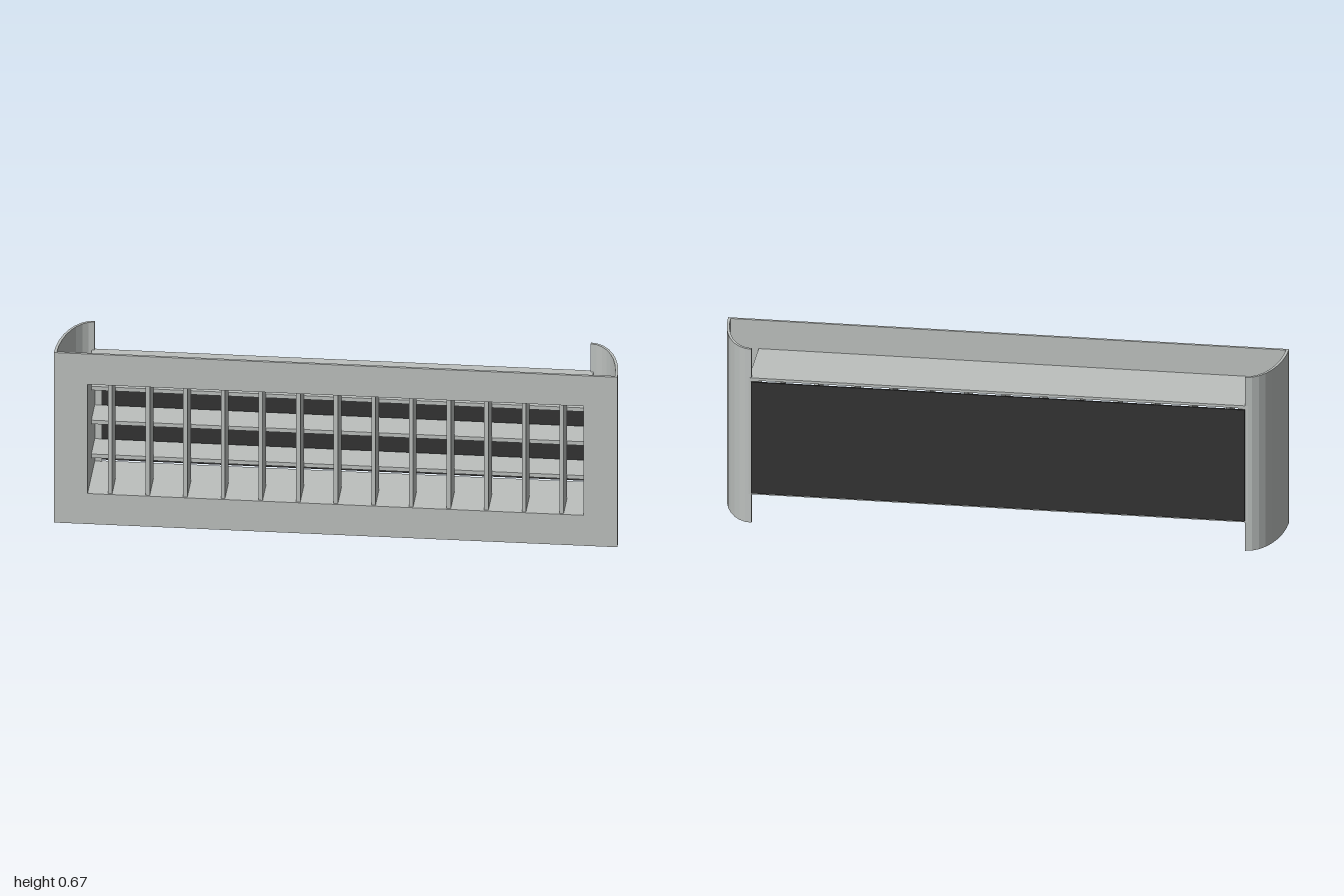
import * as THREE from 'three';

export function createModel() {
  const group = new THREE.Group();
  const grey = new THREE.MeshStandardMaterial({ name: 'metalGrey', color: 0xbcc0be });
  const dark = new THREE.MeshStandardMaterial({ name: 'darkPanel', color: 0x333333 });

  const H = 0.67, FRONT = 0.14, BACK = -0.125, T = 0.01;
  const OX = 0.88, Y0 = 0.12, Y1 = 0.55;
  const midY = (Y0 + Y1) / 2, openH = Y1 - Y0;

  function add(name, geometry, material = grey) {
    const mesh = new THREE.Mesh(geometry, material);
    mesh.name = name;
    group.add(mesh);
    return mesh;
  }
  // Box given by its limits on each axis
  function box(name, x0, x1, y0, y1, z0, z1, material) {
    const mesh = add(name, new THREE.BoxGeometry(x1 - x0, y1 - y0, z1 - z0), material);
    mesh.position.set((x0 + x1) / 2, (y0 + y1) / 2, (z0 + z1) / 2);
  }

  // Front plate with a rectangular opening
  const plate = new THREE.Shape([[-1, 0], [1, 0], [1, H], [-1, H]].map(p => new THREE.Vector2(...p)));
  plate.holes.push(new THREE.Path([[-OX, Y0], [-OX, Y1], [OX, Y1], [OX, Y0]].map(p => new THREE.Vector2(...p))));
  const plateGeo = new THREE.ExtrudeGeometry(plate, { depth: T, bevelEnabled: false });
  plateGeo.translate(0, 0, FRONT - T);
  add('frontPlate', plateGeo);

  // Curved end walls: faceted quarter ellipses swept upward
  for (const side of [-1, 1]) {
    const outer = [], inner = [];
    for (let i = 0; i <= 8; i++) {
      const a = (i / 8) * Math.PI / 2;
      const c = Math.cos(a), s = Math.sin(a), depth = FRONT - BACK;
      outer.push(new THREE.Vector2(side * (0.88 + 0.12 * c), -FRONT + depth * s));
      inner.push(new THREE.Vector2(side * (0.88 + 0.11 * c), -FRONT + (depth - T) * s));
    }
    const wall = new THREE.ExtrudeGeometry(new THREE.Shape([...outer, ...inner.reverse()]),
      { depth: H, bevelEnabled: false });
    wall.rotateX(-Math.PI / 2);
    add(side > 0 ? 'leftCurvedWall' : 'rightCurvedWall', wall);
  }

  // Duct behind the opening
  const ductFront = FRONT - T;
  box('ductTop', -0.89, 0.89, Y1, Y1 + T, BACK, ductFront);
  box('ductBottom', -0.89, 0.89, Y0 - T, Y0, BACK, ductFront);
  for (const side of [-1, 1]) {
    const a = side * OX, b = side * (OX + T), f = side * 0.855;
    box('ductSide', Math.min(a, b), Math.max(a, b), Y0, Y1, BACK, ductFront);
    // Narrow flange at the back of each duct side
    box('backFlange', Math.min(a, f), Math.max(a, f), Y0, Y1, BACK, BACK + 0.006);
  }

  // Upright vanes in front
  for (let i = -6; i <= 6; i++) {
    const x = i * 0.1335;
    box('verticalVane', x - 0.0075, x + 0.0075, Y0, Y1, 0.005, 0.133);
  }
  // Level vanes behind them
  for (let i = -1; i <= 1; i++) {
    const y = midY + i * 0.1335;
    box('horizontalVane', -OX, OX, y - 0.0075, y + 0.0075, -0.118, 0.005);
  }

  // Dark back panel, set slightly behind the duct
  const panel = add('backPanel', new THREE.BoxGeometry(2 * OX, openH, 0.007), dark);
  panel.position.set(0, midY, -0.1365);

  return group;
}
